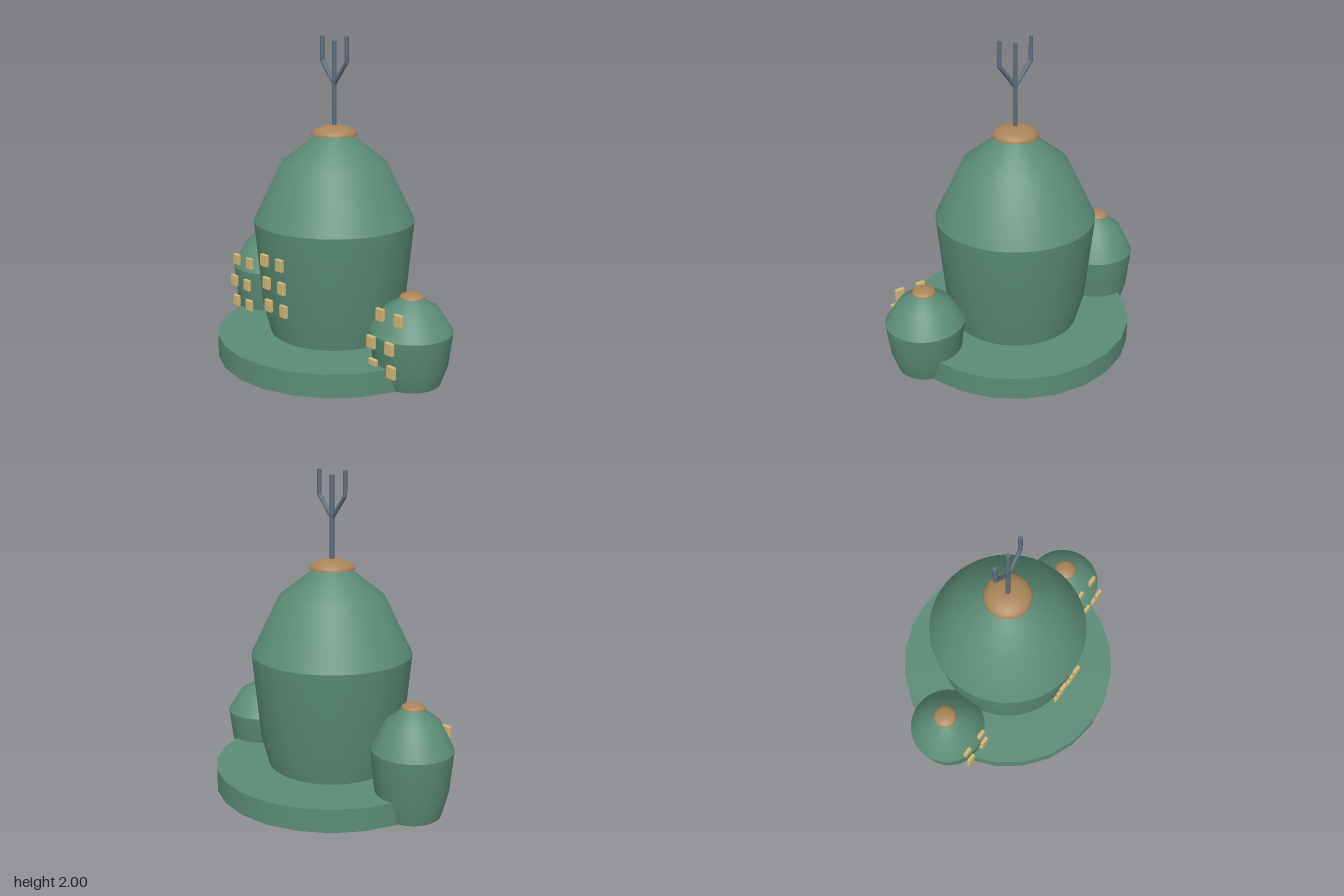
import * as THREE from 'three';
import { toCreasedNormals } from 'three/addons/utils/BufferGeometryUtils.js';
import { RoundedBoxGeometry } from 'three/addons/geometries/RoundedBoxGeometry.js';

const material = (name, color, side = THREE.FrontSide) => {
  const m = new THREE.MeshStandardMaterial({ color, side });
  m.name = name;
  return m;
};

// Tower profile as [radius fraction, height fraction]
const PROFILE = [[0.735, 0], [0.9, 0.23], [1, 0.62], [0.65, 0.88], [0.22, 1]];

function radiusAt(t) {
  const i = Math.max(1, PROFILE.findIndex((p) => p[1] >= t));
  const [r0, t0] = PROFILE[i - 1];
  const [r1, t1] = PROFILE[i];
  return r0 + ((r1 - r0) * (t - t0)) / (t1 - t0);
}

export function createModel() {
  const model = new THREE.Group();
  const green = material('green wall', 0x5b8c76);
  const bronze = material('bronze cap', 0xa98458, THREE.DoubleSide);
  const yellow = material('yellow window', 0xd2b877);
  const grey = material('grey metal', 0x5f6f7c);

  const add = (parent, name, geometry, mat, x = 0, y = 0, z = 0) => {
    const mesh = new THREE.Mesh(geometry, mat);
    mesh.name = name;
    mesh.position.set(x, y, z);
    parent.add(mesh);
    return mesh;
  };

  // Round plinth
  add(model, 'base', new THREE.CylinderGeometry(0.75, 0.75, 0.145, 24), green, 0, 0.0725, 0);

  // Tower with a domed cap and two columns of windows
  const windowShape = new RoundedBoxGeometry(0.063, 0.078, 0.025, 1, 0.006);
  function tower(name, x, radius, height, capRadius, capHeight, rows) {
    const group = new THREE.Group();
    group.name = name;
    group.position.x = x;
    model.add(group);

    const points = [new THREE.Vector2(0, 0)];
    for (const [r, t] of PROFILE) points.push(new THREE.Vector2(r * radius, t * height));
    points.push(new THREE.Vector2(0, height));
    const wall = toCreasedNormals(new THREE.LatheGeometry(points, 48), Math.PI / 6);
    add(group, 'wall', wall, green);

    const dome = new THREE.SphereGeometry(1, 32, 8, 0, Math.PI * 2, 0, Math.PI / 2);
    dome.scale(capRadius, capHeight, capRadius);
    add(group, 'cap', dome, bronze, 0, height, 0);

    for (const y of rows) {
      const z = radiusAt(y / height) * radius + 0.012;
      for (const side of [-1, 1]) add(group, 'window', windowShape, yellow, side * 0.073, y, z);
    }
  }
  tower('mainTower', 0, 0.507, 1.4, 0.145, 0.063, [0.38, 0.528, 0.675]);
  tower('rightTower', -0.678, 0.248, 0.664, 0.073, 0.031, [0.18, 0.328, 0.475]);
  tower('leftTower', 0.678, 0.248, 0.519, 0.073, 0.031, [0.143, 0.291, 0.438]);

  // Three-pronged mast
  const mast = new THREE.Group();
  mast.name = 'mast';
  model.add(mast);
  function rod(name, x0, y0, x1, y1, r) {
    const length = Math.hypot(x1 - x0, y1 - y0);
    const mesh = add(mast, name, new THREE.CylinderGeometry(r, r, length, 10), grey,
      (x0 + x1) / 2, (y0 + y1) / 2, 0);
    mesh.rotation.z = Math.atan2(x0 - x1, y1 - y0);
  }
  rod('shaft', 0, 1.4, 0, 1.972, 0.014);
  for (const side of [-1, 1]) {
    rod('arm', 0, 1.712, side * 0.111, 1.85, 0.013);
    rod('prong', side * 0.111, 1.845, side * 0.111, 2, 0.013);
  }
  return model;
}
